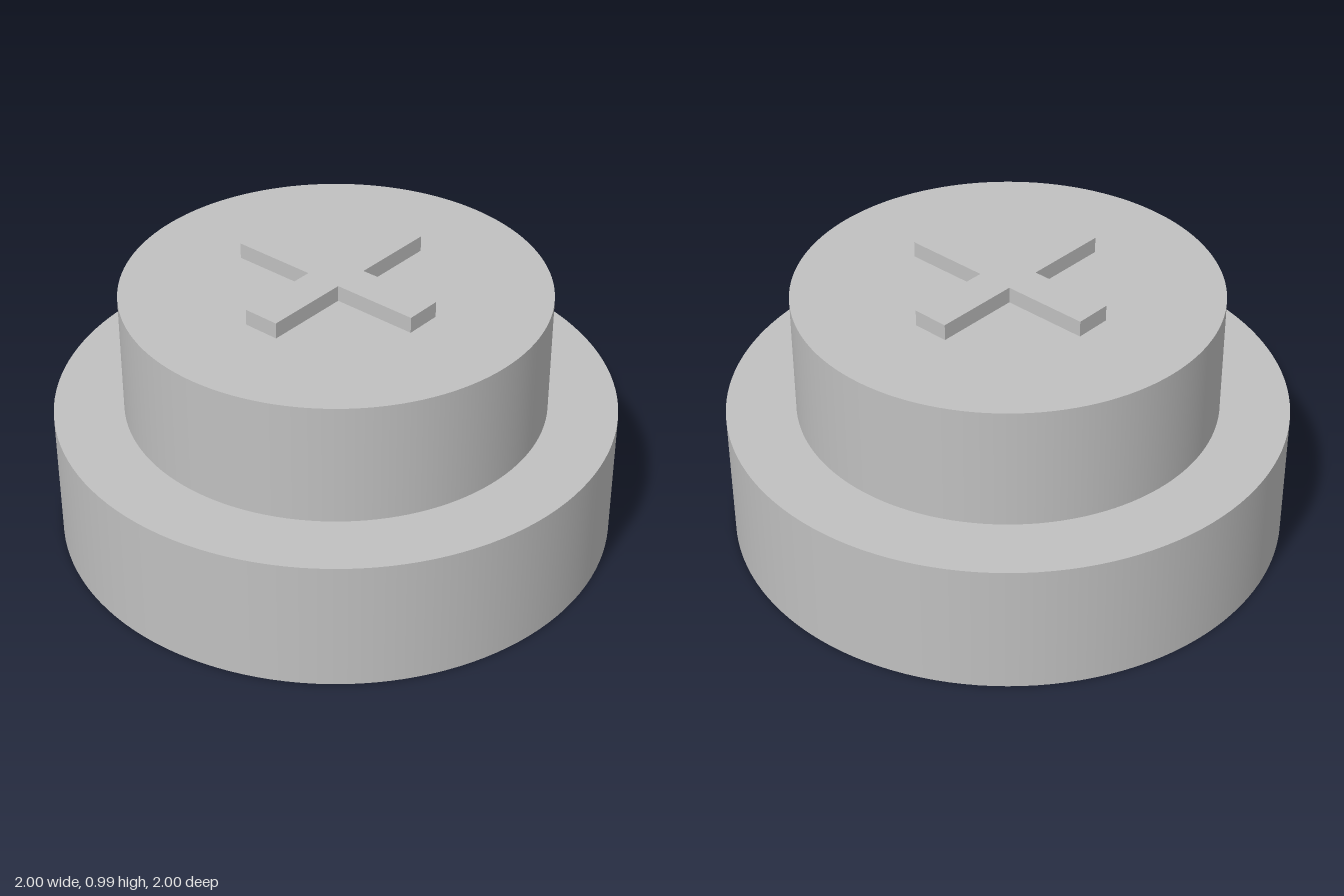
import * as THREE from 'three';

export function createModel() {
  const model = new THREE.Group();
  const grey = new THREE.MeshStandardMaterial({ color: 0xc0c0c0 });
  grey.name = 'light grey';

  const add = (name, geometry, y) => {
    const mesh = new THREE.Mesh(geometry, grey);
    mesh.name = name;
    mesh.position.y = y;
    model.add(mesh);
  };

  // Stepped round body
  const baseTop = 0.483, plugTop = 0.927, crossTop = 0.985;
  const disc = (name, radius, bottom, top) =>
    add(name, new THREE.CylinderGeometry(radius, radius, top - bottom, 128), (bottom + top) / 2);
  disc('base', 1, 0, baseTop);
  disc('upperPlug', 0.752, baseTop, plugTop);

  // Raised cross: one arm's corners repeated in four directions
  const reach = 0.384, half = 0.067;
  const points = [];
  for (let i = 0; i < 4; i++) {
    for (const [x, y] of [[reach, -half], [reach, half], [half, half]]) {
      points.push(new THREE.Vector2(x, y).rotateAround(new THREE.Vector2(), i * Math.PI / 2));
    }
  }
  const cross = new THREE.ExtrudeGeometry(new THREE.Shape(points), {
    depth: crossTop - plugTop, bevelEnabled: false,
  });
  cross.rotateX(-Math.PI / 2);
  add('raisedCross', cross, plugTop);

  return model;
}
